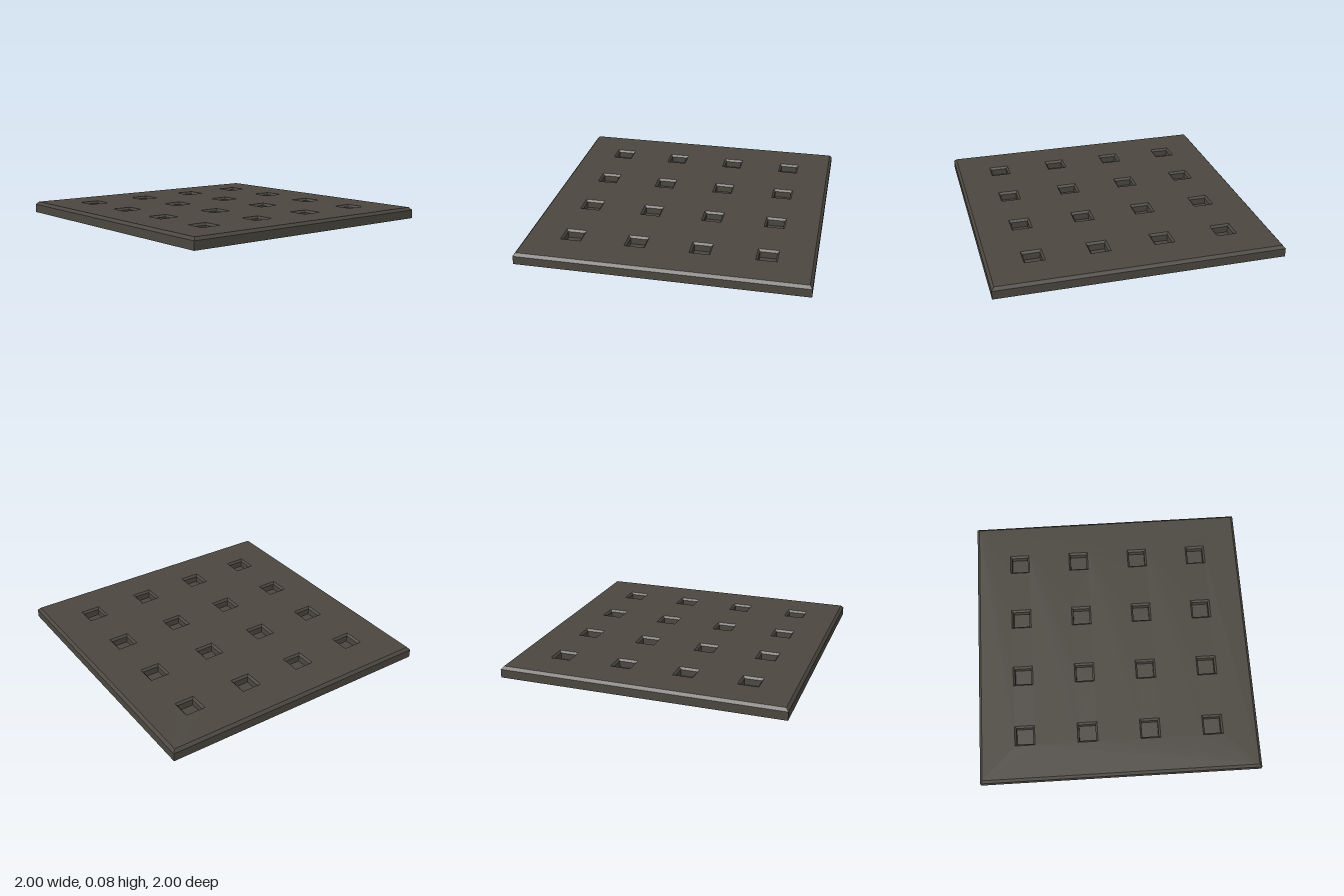
import * as THREE from 'three';
import { mergeGeometries } from 'three/addons/utils/BufferGeometryUtils.js';

const TOP = 0.08;     // plate thickness
const RIM = 0.982;    // half width of the top face inside the outer chamfer
const MOUTH = 0.072;  // half width of a pocket at the top face
const WALL = 0.059;   // half width of a pocket below its chamfer
const FLOOR = 0.02;   // height of the pocket floor
const GRID = [-0.675, -0.225, 0.225, 0.675];

// Square solid of revolution from [half width, height] pairs
function squareLathe(profile) {
  const points = profile.map(([half, y]) => new THREE.Vector2(half * Math.SQRT2, y));
  return new THREE.LatheGeometry(points, 4, Math.PI / 4).toNonIndexed();
}

function square(path, half, x = 0, y = 0) {
  path.moveTo(x - half, y - half);
  path.lineTo(x + half, y - half);
  path.lineTo(x + half, y + half);
  path.lineTo(x - half, y + half);
  path.closePath();
  return path;
}

export function createModel() {
  const group = new THREE.Group();
  group.name = 'pocketedPlate';
  const material = new THREE.MeshStandardMaterial({ color: 0x4b4740, flatShading: true });

  const addMesh = (name, geometry) => {
    geometry.computeVertexNormals();
    const mesh = new THREE.Mesh(geometry, material);
    mesh.name = name;
    group.add(mesh);
  };

  // Underside, sides and outer chamfer
  addMesh('plateBody', squareLathe([[0, 0], [1, 0], [1, 0.06], [RIM, TOP]]));

  // Top face with square openings, and the chamfered pockets below them
  const face = square(new THREE.Shape(), RIM);
  const pockets = [];
  for (const x of GRID) {
    for (const z of GRID) {
      face.holes.push(square(new THREE.Path(), MOUTH, x, -z));
      pockets.push(
        squareLathe([[MOUTH, TOP], [WALL, 0.065], [WALL, FLOOR], [0, FLOOR]]).translate(x, 0, z)
      );
    }
  }
  addMesh('topFace', new THREE.ShapeGeometry(face).rotateX(-Math.PI / 2).translate(0, TOP, 0));
  addMesh('pockets', mergeGeometries(pockets));

  return group;
}
